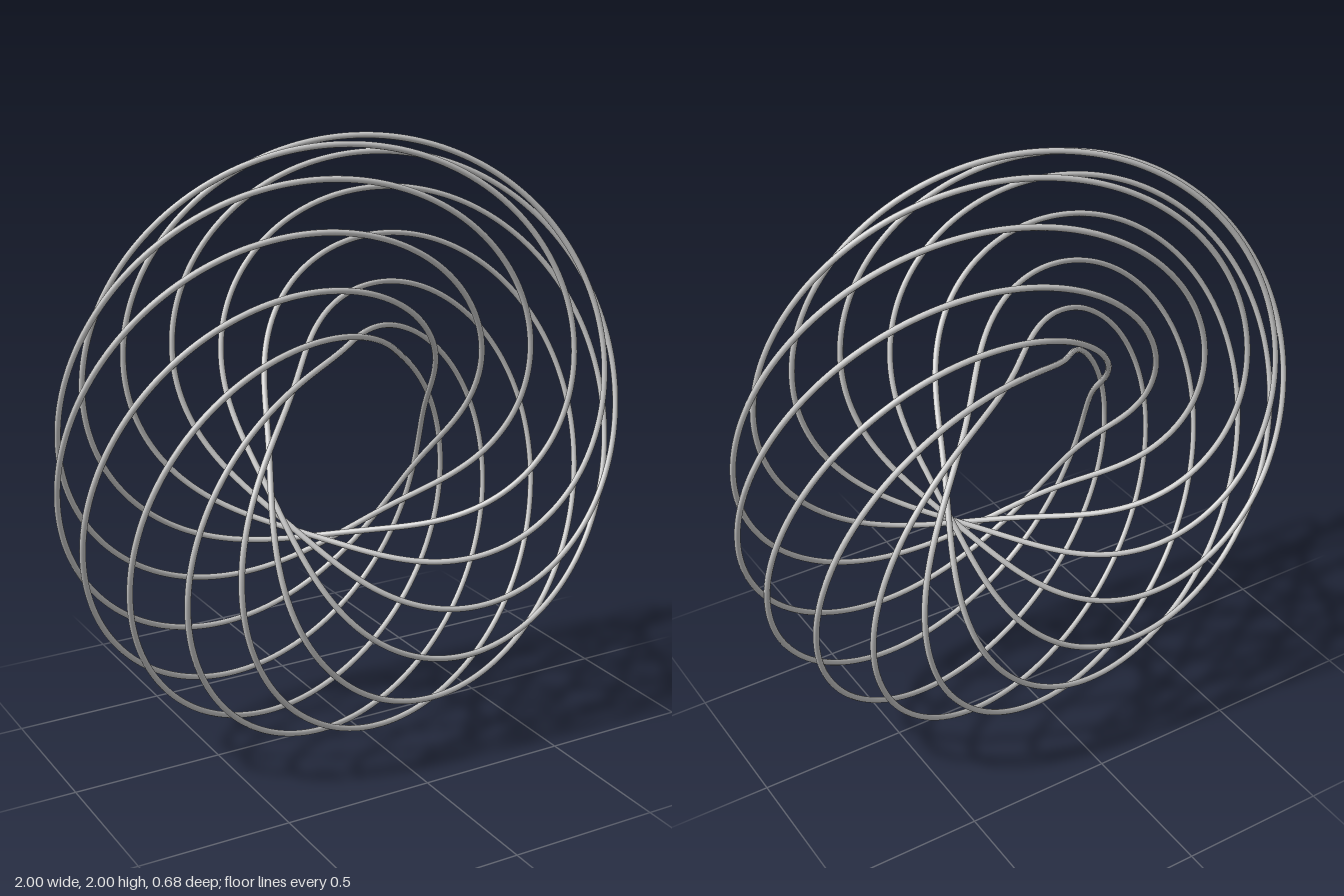
import * as THREE from 'three';

const LOOPS = 11;      // separate closed rings woven around a torus
const MAJOR = 0.663;   // torus centre line
const MINOR = 0.33;    // torus cross-section
const WIRE = 0.01;     // wire radius
const CENTRE_Y = MAJOR + MINOR + WIRE;

// A ring that winds once around the torus and once through its hole
class WovenRing extends THREE.Curve {
  constructor(phase) {
    super();
    this.phase = phase;
  }

  getPoint(t, target = new THREE.Vector3()) {
    const a = t * Math.PI * 2;
    const b = a + this.phase;
    const d = MAJOR + MINOR * Math.cos(b);
    return target.set(d * Math.sin(a), d * Math.cos(a), MINOR * Math.sin(b));
  }
}

export function createModel() {
  const model = new THREE.Group();
  model.name = 'wovenTorus';
  const material = new THREE.MeshStandardMaterial({ color: 0xcccccc });

  // Evenly phased wire rings
  for (let i = 0; i < LOOPS; i++) {
    const phase = ((i + 0.5) / LOOPS) * Math.PI * 2;
    const geometry = new THREE.TubeGeometry(new WovenRing(phase), 200, WIRE, 10, true);
    const ring = new THREE.Mesh(geometry, material);
    ring.name = `wireRing${i + 1}`;
    ring.position.y = CENTRE_Y;
    model.add(ring);
  }
  return model;
}
